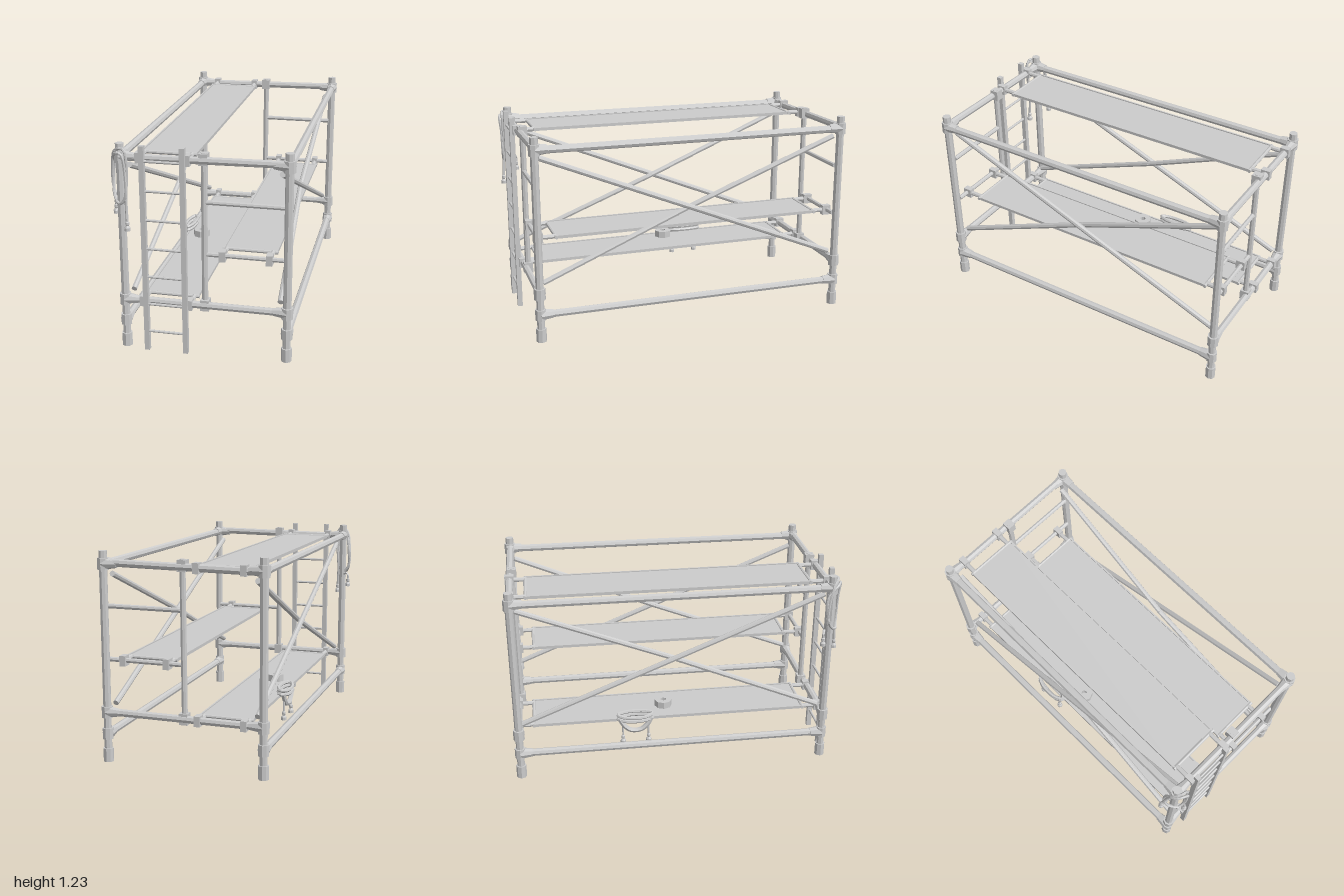
import * as THREE from 'three';

const mat = new THREE.MeshStandardMaterial({ color: 0xcccccc, flatShading: true, side: THREE.DoubleSide });
const V = (x, y, z) => new THREE.Vector3(x, y, z);
const UP = V(0, 1, 0);

// Frame lines shared by all parts
const LEFT = 0.485, RIGHT = -0.455, FRONT = 0.935, BACK = -0.96;
const TOP = 1.153, LOW = 0.297;

export function createModel() {
  const root = new THREE.Group();

  function group(name) {
    const g = new THREE.Group();
    g.name = name;
    root.add(g);
    return g;
  }
  function add(parent, name, geometry, x = 0, y = 0, z = 0) {
    const m = new THREE.Mesh(geometry, mat);
    m.name = name;
    m.position.set(x, y, z);
    parent.add(m);
    return m;
  }
  // Straight faceted tube from a to b
  function rod(parent, name, a, b, r, r2 = r, sides = 8) {
    const dir = b.clone().sub(a);
    const m = add(parent, name, new THREE.CylinderGeometry(r2, r, dir.length(), sides));
    m.position.copy(a).add(b).multiplyScalar(0.5);
    m.quaternion.setFromUnitVectors(UP, dir.normalize());
    return m;
  }
  const box = (parent, name, w, h, d, x, y, z) => add(parent, name, new THREE.BoxGeometry(w, h, d), x, y, z);
  function rope(parent, name, points, r, closed = false) {
    const curve = new THREE.CatmullRomCurve3(points.map(p => V(...p)), closed);
    return add(parent, name, new THREE.TubeGeometry(curve, 36, r, 6, closed));
  }

  // Corner posts with feet, collars and tips
  for (const x of [LEFT, RIGHT]) for (const z of [FRONT, BACK]) {
    const g = group('cornerPost');
    const piece = (name, y0, y1, r) => rod(g, name, V(x, y0, z), V(x, y1, z), r);
    piece('foot', 0, 0.08, 0.031);
    piece('postLower', 0.08, 0.3, 0.023);
    piece('railCollar', 0.135, 0.2, 0.032);
    piece('lowCollar', 0.263, 0.33, 0.034);
    piece('postShaft', 0.32, 1.13, 0.024);
    piece('topCollar', 1.118, 1.185, 0.034);
    piece('tip', 1.18, 1.225, 0.025);
    // flared couplers towards each rail
    const sx = -Math.sign(x), sz = -Math.sign(z);
    for (const y of [TOP, LOW])
      rod(g, 'endCoupler', V(x, y, z), V(x + sx * 0.085, y, z), 0.036, 0.022);
    for (const y of [TOP, 0.165])
      rod(g, 'sideCoupler', V(x, y, z), V(x, y, z + sz * 0.075), 0.036, 0.026);
  }

  // Long side rails and crossed braces, bowed slightly inwards
  const sides = group('sideFrames');
  for (const x of [LEFT, RIGHT]) {
    const s = Math.sign(x);
    rod(sides, 'topRail', V(x, 1.15, FRONT), V(x, 1.15, BACK), 0.023);
    rod(sides, 'lowRail', V(x, 0.165, FRONT), V(x, 0.165, BACK), 0.023);
    const inner = x - s * 0.043;
    const brace = (name, y0, y1, bow) => {
      const a = V(inner, y0, 0.905), b = V(inner, y1, -0.935);
      const mid = a.clone().lerp(b, 0.5);
      mid.x -= s * bow;
      rod(sides, name, a, mid, 0.017);
      rod(sides, name, mid, b, 0.017);
    };
    brace('fallingBrace', 1.095, 0.345, 0.0);
    brace('risingBrace', 0.345, 1.095, 0.032);
  }

  // End frames: cross rails, inner upright and climbing rungs
  for (const z of [FRONT, BACK]) {
    const g = group(z > 0 ? 'frontFrame' : 'backFrame');
    const zi = z - Math.sign(z) * 0.015;
    rod(g, 'topCrossRail', V(RIGHT, 1.147, z), V(LEFT, 1.16, z), 0.022);
    rod(g, 'lowCrossRail', V(RIGHT, LOW, z), V(LEFT, LOW, z), 0.022);
    rod(g, 'innerUpright', V(0.012, 0.262, zi), V(0.015, 1.195, zi), 0.018);
    for (const y of [LOW, 1.16]) box(g, 'uprightClamp', 0.05, 0.065, 0.055, 0.013, y, zi);
    for (const y of [0.605, 0.912]) rod(g, 'rung', V(0.02, y, zi), V(LEFT - 0.015, y, zi), 0.014);
  }

  // Decks: thin panel, raised edge rims, end bars and hooks over the rails
  function deck(name, x0, x1, y, zf, zb, hookF, hookB) {
    const g = group(name);
    const cx = (x0 + x1) / 2, w = x1 - x0, cz = (zf + zb) / 2, len = zf - zb;
    box(g, 'panel', w, 0.008, len, cx, y, cz);
    for (const x of [x0, x1]) box(g, 'edgeRim', 0.01, 0.018, len, x, y + 0.001, cz);
    for (const [z, hz] of [[zf, hookF], [zb, hookB]]) {
      rod(g, 'endBar', V(x0 - 0.008, y, z), V(x1 + 0.008, y, z), 0.011);
      for (const x of [x0 + 0.015, x1 - 0.022]) {
        rod(g, 'hookArm', V(x, y, z), V(x, y, hz), 0.014);
        box(g, 'hookClamp', 0.036, 0.06, 0.055, x, y, hz);
      }
    }
  }
  deck('upperDeck', -0.36, -0.052, 1.152, 0.83, -0.865, FRONT, BACK);
  deck('middleDeck', 0.1, 0.402, 0.603, 0.81, -0.845, FRONT - 0.02, BACK + 0.02);
  deck('lowerDeck', -0.36, -0.052, 0.297, 0.83, -0.865, FRONT, BACK);

  // Ladder leaning flat on the front frame
  const ladder = group('ladder');
  for (const x of [-0.322, -0.094]) box(ladder, 'stringer', 0.029, 1.225, 0.03, x, 0.6125, 0.965);
  for (let i = 0; i < 7; i++) {
    const y = 0.117 + i * 0.17;
    rod(ladder, 'ladderRung', V(-0.322, y, 0.965), V(-0.094, y, 0.965), 0.008);
  }

  // Bell-shaped rope end
  function hookEnd(parent, x, y, z) {
    const pts = [[0.006, 0.055], [0.012, 0.05], [0.012, 0.035], [0.008, 0.03], [0.017, 0.018], [0.017, 0], [0, 0]];
    add(parent, 'ropeEnd', new THREE.LatheGeometry(pts.map(p => new THREE.Vector2(...p)), 8), x, y, z);
  }

  // Safety line slung over the front right post
  const line = group('hangingLine');
  rope(line, 'longLoop', [[-0.505, 0.85, 0.885], [-0.503, 0.89, 0.885], [-0.47, 0.885, 0.9], [-0.508, 0.95, 0.9],
    [-0.508, 1.08, 0.91], [-0.49, 1.17, 0.935], [-0.455, 1.2, 0.965], [-0.42, 1.2, 0.975], [-0.405, 1.1, 0.975],
    [-0.415, 0.92, 0.975], [-0.41, 0.79, 0.985]], 0.008);
  rope(line, 'shortLoop', [[-0.5, 1.1, 0.9], [-0.475, 1.17, 0.965], [-0.43, 1.175, 0.99], [-0.415, 1.08, 0.985],
    [-0.42, 0.92, 0.98], [-0.455, 0.885, 0.97], [-0.5, 0.93, 0.92]], 0.009, true);
  hookEnd(line, -0.505, 0.797, 0.885);
  hookEnd(line, -0.41, 0.735, 0.985);

  // Coiled harness draped over the edge of the lower deck
  const harness = group('harness');
  for (const [y, r] of [[0.312, 0.012], [0.335, 0.011]])
    rope(harness, 'beltCoil', [[-0.37, y, -0.13], [-0.4, y - 0.008, -0.18], [-0.4, y - 0.008, -0.3],
      [-0.37, y, -0.35], [-0.345, y + 0.004, -0.3], [-0.345, y + 0.004, -0.18]], r, true);
  rope(harness, 'hangingStrap', [[-0.385, 0.315, -0.14], [-0.388, 0.265, -0.17], [-0.388, 0.235, -0.21],
    [-0.388, 0.235, -0.27], [-0.388, 0.265, -0.31], [-0.385, 0.315, -0.34]], 0.015);
  for (const z of [-0.16, -0.32]) {
    rod(harness, 'tailRope', V(-0.385, 0.19, z), V(-0.385, 0.31, z), 0.006);
    hookEnd(harness, -0.385, 0.145, z);
  }

  // Tape roll on the lower deck
  const ring = [[0.018, 0], [0.054, 0], [0.054, 0.042], [0.018, 0.042], [0.018, 0]];
  add(root, 'tapeRoll', new THREE.LatheGeometry(ring.map(p => new THREE.Vector2(...p)), 8), -0.25, 0.318, -0.05);

  return root;
}
